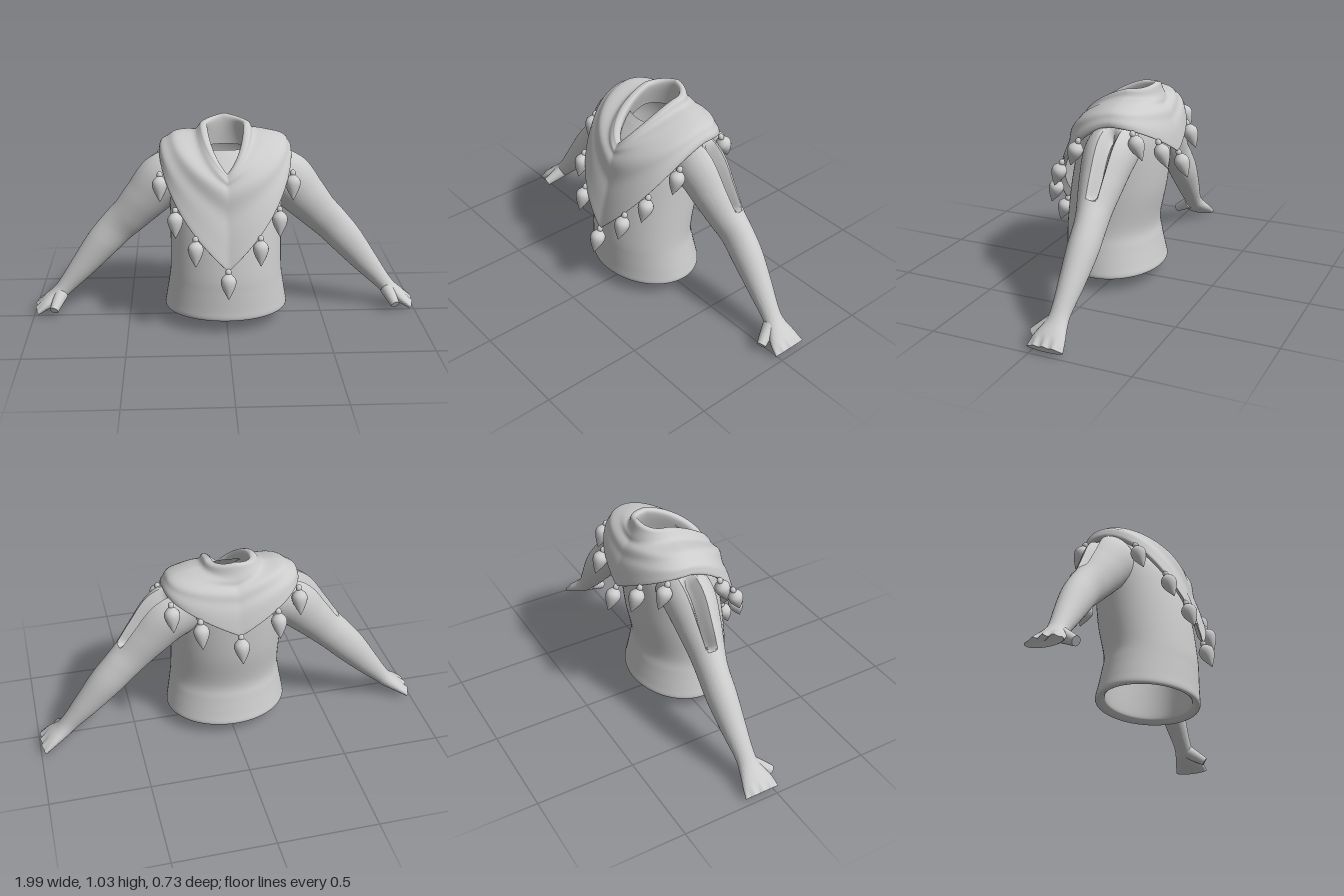
import * as THREE from 'three';
import { toCreasedNormals } from 'three/addons/utils/BufferGeometryUtils.js';

const V = (x, y, z) => new THREE.Vector3(x, y, z);
const clamp01 = (v) => Math.min(1, Math.max(0, v));
const material = new THREE.MeshStandardMaterial({ color: 0xcccccc, side: THREE.DoubleSide });

function addMesh(parent, name, geometry) {
  const mesh = new THREE.Mesh(geometry, material);
  mesh.name = name;
  parent.add(mesh);
  return mesh;
}

// Skin a stack of closed rings, each with the same number of points
function loft(rings) {
  const n = rings[0].length, index = [];
  for (let j = 0; j < rings.length - 1; j++) {
    for (let i = 0; i < n; i++) {
      const a = j * n + i, b = j * n + (i + 1) % n;
      index.push(a, b, a + n, b, b + n, a + n);
    }
  }
  const geometry = new THREE.BufferGeometry().setFromPoints(rings.flat());
  geometry.setIndex(index);
  geometry.computeVertexNormals();
  return geometry;
}

// Smooth interpolation through rows of up to six numbers
function sampler(rows) {
  const curve = (k) => new THREE.CatmullRomCurve3(
    rows.map((r) => V(r[k], r[k + 1] ?? 0, r[k + 2] ?? 0)), false, 'catmullrom', 0.5);
  const a = curve(0), b = curve(3);
  return (t) => [...a.getPoint(t).toArray(), ...b.getPoint(t).toArray()];
}

// Shirt body: lining, rolled lip, then outside; rows are y, half width, front z, back z
function torso() {
  const at = sampler([
    [0.70, 0.25, 0.17, -0.205], [0.40, 0.25, 0.23, -0.17], [0.13, 0.262, 0.232, -0.175],
    [0.085, 0.275, 0.245, -0.19], [0.072, 0.30, 0.265, -0.215], [0.085, 0.313, 0.276, -0.226],
    [0.13, 0.307, 0.275, -0.216], [0.22, 0.292, 0.274, -0.198], [0.31, 0.282, 0.271, -0.188],
    [0.50, 0.281, 0.248, -0.224], [0.70, 0.28, 0.205, -0.24], [0.79, 0.268, 0.16, -0.235],
    [0.86, 0.235, 0.10, -0.215], [0.90, 0.18, 0.06, -0.19],
  ]);
  const rings = [];
  for (let j = 0; j <= 78; j++) {
    const [y, rx, front, back] = at(j / 78);
    const ring = [];
    for (let i = 0; i < 64; i++) {
      const a = i / 64 * Math.PI * 2;
      ring.push(V(rx * Math.sin(a), y, (front + back) / 2 + (front - back) / 2 * Math.cos(a)));
    }
    rings.push(ring);
  }
  return loft(rings);
}

// Point on a shawl ring: oval about the shoulder line, dipping to a V in front and a soft point behind
function shawlPoint([rx, front, back, yFront, ySide, yBack], a) {
  const s = Math.abs(Math.sin(a)), c = Math.cos(a), depth = Math.abs(c) ** (1.05 - 0.75 * rx);
  const z = -0.08 + depth * (c > 0 ? front + 0.08 : back + 0.08);
  const u = Math.asin(Math.min(1, s)) * 2 / Math.PI;
  const rise = u + 0.5 * u ** 3 * (1 - u);
  const y = c > 0 ? yFront + (ySide - yFront) * rise : yBack + (ySide - yBack) * s;
  return V(rx * Math.sin(a), y, z);
}

// Shawl rows from under the hem to the throat: half width, front z, back z, then y at front, side, back
const hem = [.332, .315, -.305, .365, .875, .695];
const shawlRows = [
  [.308, .285, -.28, .40, .865, .71],
  hem,
  [.32, .264, -.28, .58, .915, .83],
  [.262, .236, -.245, .73, .955, .905],
  [.154, .212, -.215, .78, .97, .95],
  [.12, .192, -.195, .81, 1.005, 1.025],
  [.09, .165, -.168, .80, .99, 1.01],
  [.13, .16, -.18, .73, .87, .87],
];

function shawl() {
  const at = sampler(shawlRows), nu = 128, nv = 70, rings = [];
  for (let j = 0; j <= nv; j++) {
    const row = at(j / nv), v = j / nv * (shawlRows.length - 1), ring = [];
    const fade = clamp01(v - 1.3) * clamp01(4.8 - v);
    for (let i = 0; i < nu; i++) {
      const a = i / nu * Math.PI * 2, p = shawlPoint(row, a);
      // soft cloth folds sweeping around the shoulders
      const fold = 0.004 * fade * Math.sin(Math.PI * 2 * (v * 0.8 + 0.3 * Math.sin(a)));
      ring.push(p.addScaledVector(V(p.x, 0.12, p.z + 0.05).normalize(), fold));
    }
    rings.push(ring);
  }
  return loft(rings);
}

// Arm rows: centre x, y, z, half height, half depth
const armRows = [
  [.20, .77, -.08, .13, .115], [.305, .725, -.075, .138, .124], [.405, .622, -.077, .118, .106],
  [.49, .528, -.083, .1, .085], [.56, .458, -.092, .092, .074], [.64, .37, -.092, .085, .072],
  [.74, .25, -.086, .066, .06], [.83, .145, -.078, .046, .048], [.875, .098, -.075, .04, .055],
  [.93, .058, -.07, .034, .078], [.978, .022, -.07, .025, .09],
];

// Arm cross-sections, with a sharp tapering groove along the outside of the upper arm
function armRings() {
  const at = sampler(armRows), rings = [], steps = 110, n = 96;
  for (let j = 0; j <= steps; j++) {
    const t = j / steps, [x, y, z, h, w] = at(t);
    const p = at(Math.max(0, t - 0.01)), q = at(Math.min(1, t + 0.01));
    const d = V(q[0] - p[0], q[1] - p[1], 0).normalize();
    const s = t * (armRows.length - 1);
    const along = clamp01((s - 0.5) / 0.3) * clamp01((3.1 - s) / 0.3);
    const grooveWidth = 0.046 - 0.007 * s;
    const ring = [];
    for (let i = 0; i < n; i++) {
      const a = i / n * Math.PI * 2, pz = z + w * Math.sin(a), top = Math.max(0, Math.cos(a));
      const across = top > 0 ? clamp01(1 - Math.abs(pz + 0.097) / grooveWidth) : 0;
      const knuckle = 0.006 * top * clamp01(s - 9) * Math.cos((pz + 0.07) * 130);
      const up = h * Math.cos(a) + knuckle - 0.075 * across * along;
      ring.push(V(x - d.y * up, y + d.x * up, pz));
    }
    rings.push(ring);
  }
  return rings;
}

function arm() {
  const group = new THREE.Group(), rings = armRings();
  addMesh(group, 'armSkin', toCreasedNormals(loft(rings), 0.6));
  // flat end of the hand
  const end = rings[rings.length - 1], centre = V(0.975, 0.024, -0.07);
  addMesh(group, 'handEnd', loft([end, end.map(() => centre.clone())]));
  // thumb stump
  const from = V(0.86, 0.10, -0.05), to = V(0.892, 0.044, 0.036);
  const thumb = addMesh(group, 'thumb', new THREE.CylinderGeometry(0.023, 0.036, from.distanceTo(to), 20));
  thumb.position.copy(from).lerp(to, 0.5);
  thumb.quaternion.setFromUnitVectors(V(0, 1, 0), to.clone().sub(from).normalize());
  return group;
}

// Leaf-shaped drop hanging from a bead
function pendant(hook) {
  const curve = new THREE.SplineCurve([
    [0, -.135], [.01, -.118], [.029, -.082], [.038, -.052], [.034, -.03], [.015, -.01], [0, -.004],
  ].map(([r, y]) => new THREE.Vector2(r, y)));
  const points = curve.getPoints(24).map((p) => new THREE.Vector2(Math.max(0, p.x), p.y));
  const group = new THREE.Group();
  group.name = 'pendant';
  addMesh(group, 'drop', new THREE.LatheGeometry(points, 20));
  addMesh(group, 'bead', new THREE.SphereGeometry(0.015, 14, 10)).scale.y = 1.2;
  group.position.set(hook.x * 1.05, hook.y - 0.01, hook.z);
  group.rotation.x = hook.z > 0 ? -0.33 : 0.38;
  return group;
}

export function createModel() {
  const model = new THREE.Group();
  model.name = 'shawledTorso';
  addMesh(model, 'shirt', torso());
  addMesh(model, 'shawl', shawl());

  for (const side of [1, -1]) {
    const limb = arm();
    limb.name = side > 0 ? 'leftArm' : 'rightArm';
    limb.scale.x = side;
    model.add(limb);
  }

  // fringe of pendants at angles along the shawl hem
  for (const degrees of [0, 27, 47, 71, 116, 147, 180, -27, -47, -71, -116, -147]) {
    model.add(pendant(shawlPoint(hem, THREE.MathUtils.degToRad(degrees))));
  }
  return model;
}
